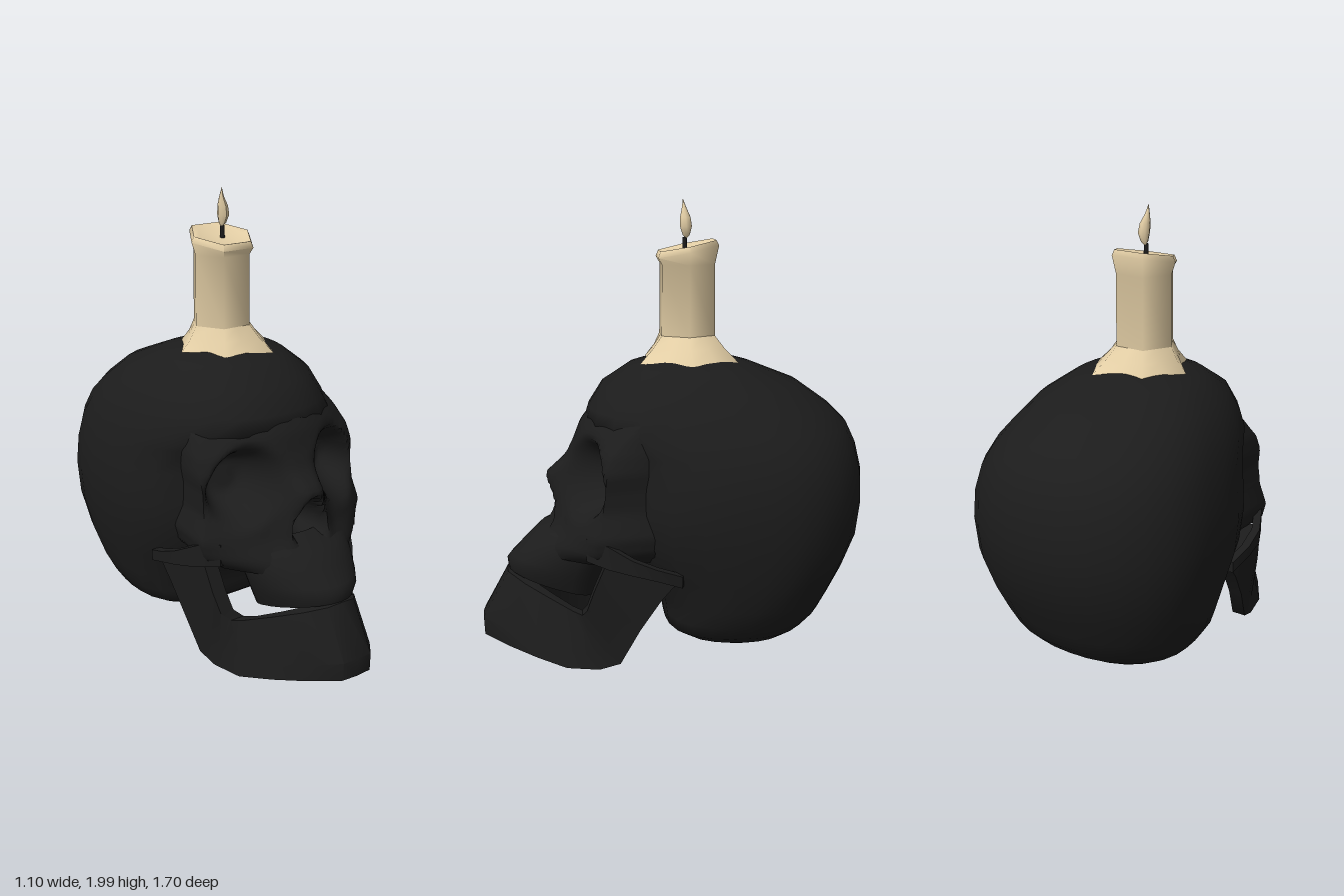
import * as THREE from 'three';
import { toCreasedNormals } from 'three/addons/utils/BufferGeometryUtils.js';

// Skin a grid of [x, y, z] points; rows ascend, columns run to the right seen from outside
function skin(rows, closed, crease) {
  const n = rows[0].length, index = [];
  for (let i = 0; i < rows.length - 1; i++) {
    for (let j = 0; j < (closed ? n : n - 1); j++) {
      const k = (j + 1) % n;
      const a = i * n + j, b = i * n + k, c = a + n, d = b + n;
      index.push(a, b, d, a, d, c);
    }
  }
  const geo = new THREE.BufferGeometry();
  geo.setAttribute('position', new THREE.Float32BufferAttribute(rows.flat(2), 3));
  geo.setIndex(index);
  geo.computeVertexNormals();
  return crease ? toCreasedNormals(geo, crease) : geo;
}

// Horizontal superellipse ring, separate front and back reach, optionally tilted;
// the crown leans slightly to the right
function ring([y, w, zWide, zFront, zBack, n = 2.4, tilt = 0], count = 28) {
  const lean = 0.022 * THREE.MathUtils.smoothstep(y, 0.85, 1.2);
  return Array.from({ length: count }, (_, j) => {
    const t = (j / count) * Math.PI * 2, s = Math.sin(t), c = Math.cos(t);
    const e = c > 0 ? n : 2.2;
    const r = Math.pow(Math.abs(s) ** e + Math.abs(c) ** e, -1 / e);
    const z = zWide + r * c * (c > 0 ? zFront - zWide : zWide - zBack);
    return [w * r * s - lean, y + tilt * (z - 0.5), z];
  });
}

// Linear lookup in rows whose first entry ascends
function lookup(table, y) {
  let i = 0;
  while (i < table.length - 2 && y > table[i + 1][0]) i++;
  const a = table[i], b = table[i + 1];
  const t = THREE.MathUtils.clamp((y - a[0]) / (b[0] - a[0]), 0, 1);
  return a.map((v, k) => v + (b[k] - v) * t);
}

// Pit with sloping walls: 1 at the middle, 0 at the rim
const pit = (dx, dy) => 1 - THREE.MathUtils.smoothstep(Math.hypot(dx, dy), 0.35, 1.05);

// y, half width, widest z, front z, back z, front squareness
const CRANIUM = [
  [0.01, 0, -0.28, -0.27, -0.29],
  [0.012, 0.08, -0.28, -0.2, -0.34],
  [0.04, 0.2, -0.3, -0.14, -0.44],
  [0.1, 0.34, -0.3, -0.02, -0.55, 2.8],
  [0.14, 0.4, -0.3, 0.035, -0.61, 3],
  [0.2, 0.44, -0.3, 0.045, -0.67, 3],
  [0.28, 0.475, -0.33, 0.06, -0.71, 2.8],
  [0.4, 0.51, -0.36, 0.14, -0.77, 2.6],
  [0.55, 0.54, -0.38, 0.22, -0.83, 2.8],
  [0.7, 0.55, -0.38, 0.22, -0.85, 3],
  [0.83, 0.54, -0.37, 0.22, -0.845, 3],
  [0.94, 0.515, -0.35, 0.24, -0.82, 3],
  [1.03, 0.48, -0.3, 0.39, -0.78],
  [1.1, 0.44, -0.25, 0.368, -0.71],
  [1.2, 0.375, -0.18, 0.305, -0.57],
  [1.28, 0.27, -0.12, 0.185, -0.37],
  [1.315, 0.16, -0.08, 0.08, -0.25],
  [1.33, 0, -0.06, -0.05, -0.07],
];

// y, half width, centre z, edge z, nose height, nose half width
const FACE = [
  [0.47, 0.33, 0.62, 0.36, 0, 0.14],
  [0.52, 0.41, 0.58, 0.34, 0, 0.14],
  [0.6, 0.43, 0.51, 0.34, 0.04, 0.13],
  [0.7, 0.405, 0.475, 0.32, 0.065, 0.12],
  [0.8, 0.4, 0.46, 0.31, 0.1, 0.08],
  [0.88, 0.41, 0.45, 0.3, 0.02, 0.07],
  [0.95, 0.405, 0.435, 0.27, 0, 0.07],
  [1.03, 0.385, 0.405, 0.2, 0, 0.07],
  [1.1, 0.35, 0.355, 0.13, 0, 0.07],
];

function faceGeometry() {
  const rows = [], columns = 44, steps = 30;
  for (let i = 0; i <= steps; i++) {
    const y = 0.47 + (0.63 * i) / steps;
    const [, hw, zc, ze, nose, noseWidth] = lookup(FACE, y);
    const row = [[-hw * 0.95, y, 0.1]];
    for (let j = 0; j <= columns; j++) {
      const u = (j / columns) * 2 - 1, x = u * hw;
      let z = ze + (zc - ze) * (1 - Math.abs(u) ** 2.2) + nose * Math.exp(-((x / noseWidth) ** 4));
      const dx = Math.abs(x) - 0.24, dy = y - 0.825 + dx * 0.25;
      z -= 0.19 * pit(dx / 0.16, dy / 0.175);
      z -= 0.17 * pit(x / (0.09 - (y - 0.66) * 0.35), (y - 0.66) / 0.12);
      row.push([x, y, z]);
    }
    row.push([hw * 0.95, y, 0.1]);
    rows.push(row);
  }
  // underside of the cheeks
  rows.unshift(rows[0].map(([x, y]) => [x * 0.9, y + 0.02, 0.1]));
  return skin(rows, false, 1.1);
}

// y, half width, widest z, front z, back z, squareness, tilt
const UPPER_JAW = [
  [0.31, 0, 0.45, 0.46, 0.44, 2, 0.26],
  [0.31, 0.2, 0.45, 0.735, 0.32, 1.9, 0.26],
  [0.37, 0.225, 0.45, 0.74, 0.3, 1.9, 0.18],
  [0.42, 0.24, 0.43, 0.72, 0.28, 1.9, 0.08],
  [0.5, 0.26, 0.4, 0.655, 0.24, 1.9],
  [0.56, 0.25, 0.38, 0.595, 0.2, 1.9],
  [0.6, 0.2, 0.35, 0.48, 0.2, 1.9],
];

// Left half of the lower jaw: lower edge x, y, z then upper edge x, y, z
const LOWER_JAW = [
  [0, 0.075, 0.85, 0, 0.37, 0.74],
  [0.075, 0.075, 0.845, 0.07, 0.365, 0.735],
  [0.17, 0.05, 0.73, 0.14, 0.33, 0.66],
  [0.26, 0.03, 0.61, 0.21, 0.29, 0.56],
  [0.34, 0.01, 0.48, 0.29, 0.25, 0.45],
  [0.37, 0.01, 0.34, 0.33, 0.245, 0.41],
  [0.385, 0.04, 0.25, 0.37, 0.28, 0.39],
  [0.41, 0.2, 0.165, 0.39, 0.37, 0.36],
  [0.425, 0.33, 0.08, 0.4, 0.49, 0.31],
  [0.43, 0.39, 0.03, 0.42, 0.45, 0.14],
  [0.435, 0.43, -0.02, 0.43, 0.46, 0.04],
];

// Close a run of loops with a centre point at each end
function capped(loops) {
  const cap = (loop) => loop.map(() => [0, 1, 2].map((k) => loop.reduce((s, p) => s + p[k] / loop.length, 0)));
  return skin([cap(loops[0]), ...loops, cap(loops[loops.length - 1])], true, 0.9);
}

function lowerJawGeometry() {
  const mirrored = LOWER_JAW.slice(1).reverse().map(([a, b, c, d, e, f]) => [-a, b, c, -d, e, f]);
  const inward = ([x, y, z]) => {
    const side = Math.min(1, Math.abs(x) / 0.28);
    return [x - Math.sign(x) * 0.065 * side, y, z - 0.08 * (1 - side)];
  };
  return capped([...mirrored, ...LOWER_JAW].map((p) => {
    const low = p.slice(0, 3), top = p.slice(3);
    const mid = low.map((v, k) => v * 0.72 + top[k] * 0.28);
    mid[2] += Math.abs(low[0]) < 0.2 ? 0.035 : 0;
    return [top, mid, low, inward(low), inward(top)];
  }));
}

// Flat bar from the cheek back to the ear: x, z, lower y, upper y
const ARCH = [
  [0.37, 0.39, 0.5, 0.6],
  [0.43, 0.3, 0.48, 0.58],
  [0.475, 0.2, 0.465, 0.53],
  [0.48, 0.1, 0.44, 0.49],
  [0.46, -0.01, 0.4, 0.45],
];

export function createModel() {
  const group = new THREE.Group();
  const bone = new THREE.MeshStandardMaterial({ color: 0x1c1c1c });
  bone.name = 'charcoal';
  bone.side = THREE.DoubleSide;
  const wax = new THREE.MeshStandardMaterial({ color: 0xe4cfa6 });
  wax.name = 'cream wax';
  const add = (name, geo, mat, parent = group) => {
    const mesh = new THREE.Mesh(geo, mat);
    mesh.name = name;
    parent.add(mesh);
    return mesh;
  };

  // Skull
  add('cranium', skin(CRANIUM.map((r) => ring(r)), true), bone);
  add('face', faceGeometry(), bone);
  add('upperJaw', skin(UPPER_JAW.map((r) => ring(r)), true, 0.9), bone);
  add('lowerJaw', lowerJawGeometry(), bone);
  for (const [side, s] of [['left', 1], ['right', -1]]) {
    const loops = ARCH.map(([x, z, low, high]) => [
      [s * x, high, z], [s * x, low, z], [s * (x - 0.035), low, z - 0.01], [s * (x - 0.035), high, z - 0.01],
    ]);
    add(side + 'CheekArch', capped(loops), bone);
  }

  // Six-sided candle with a flared, slanted rim
  const candle = new THREE.Group();
  candle.name = 'candle';
  candle.position.set(-0.035, 0, -0.075);
  group.add(candle);
  const lathe = (points, sides) => new THREE.LatheGeometry(points.map(([r, y]) => new THREE.Vector2(r, y)), sides);
  const body = lathe([[0.135, 1.3], [0.135, 1.4], [0.133, 1.72], [0.152, 1.775], [0.14, 1.8], [0.11, 1.79], [0, 1.785]], 6);
  body.rotateY(Math.PI / 2);
  const pos = body.attributes.position;
  for (let i = 0; i < pos.count; i++) {
    if (pos.getY(i) > 1.75) pos.setY(i, pos.getY(i) - pos.getZ(i) * 0.2);
  }
  add('candleBody', toCreasedNormals(body, 1.3), wax, candle);

  // Melted wax skirt with uneven drips
  const reach = [0.235, 0.2, 0.25, 0.18, 0.205, 0.16, 0.21, 0.17, 0.2, 0.18, 0.25, 0.215];
  const around = (radius, height) => reach.map((r, j) => {
    const a = (j / 12) * Math.PI * 2, q = radius(r, j);
    return [q * Math.cos(a), height(r), q * Math.sin(a)];
  });
  add('waxSkirt', skin([
    around((r, j) => (j % 2 ? 0.117 : 0.135), () => 1.41),
    around((r) => 0.125 + (r - 0.125) * 0.45, () => 1.357),
    around((r) => r, (r) => 1.338 - r * 0.17),
  ], true), wax, candle);

  // Wick and bent flame
  const wick = add('wick', new THREE.CylinderGeometry(0.009, 0.011, 0.07, 6), bone, candle);
  wick.position.set(0, 1.8, 0.01);
  const flame = lathe([[0, 1.825], [0.016, 1.845], [0.026, 1.88], [0.023, 1.92], [0.01, 1.96], [0, 2]], 8);
  const fp = flame.attributes.position;
  for (let i = 0; i < fp.count; i++) {
    const t = (fp.getY(i) - 1.825) / 0.175;
    fp.setX(i, fp.getX(i) + 0.008 * Math.sin(t * 5));
    fp.setZ(i, fp.getZ(i) + 0.004 + 0.014 * t * t);
  }
  flame.computeVertexNormals();
  add('flame', flame, wax, candle);

  return group;
}
